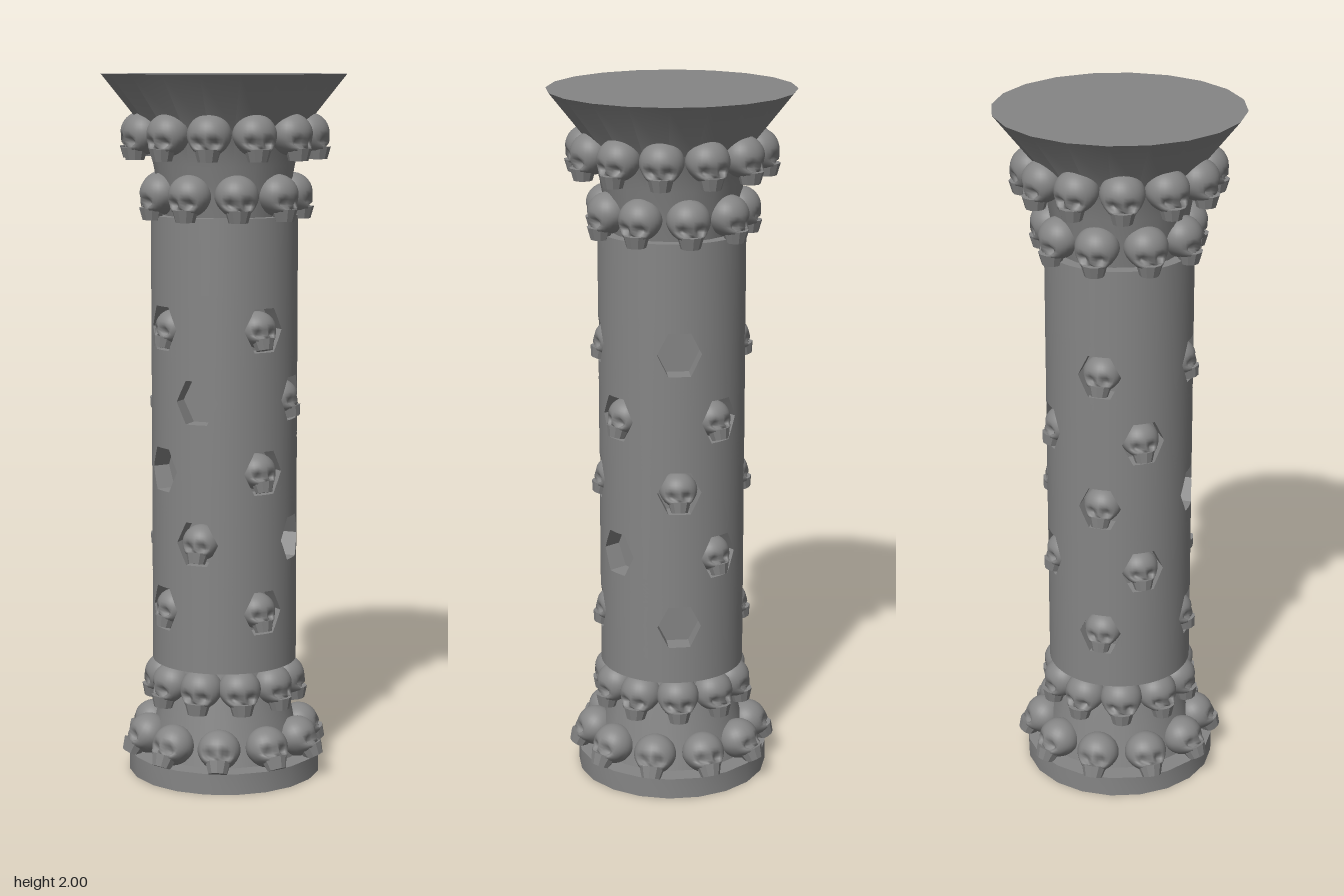
import * as THREE from 'three';
import { ParametricGeometry } from 'three/addons/geometries/ParametricGeometry.js';
import { mergeVertices, toCreasedNormals } from 'three/addons/utils/BufferGeometryUtils.js';

const R = 0.207, NICHE = 0.063, FLOOR = 0.148, ROW = 0.2, LOW = 0.33, HIGH = 1.61;
const deg = THREE.MathUtils.degToRad, lerp = THREE.MathUtils.lerp;
const stone = 0x858585;
const smooth = new THREE.MeshStandardMaterial({ color: stone });
const faceted = new THREE.MeshStandardMaterial({ color: stone, flatShading: true });

function add(parent, name, geometry, material) {
  const mesh = new THREE.Mesh(geometry, material);
  mesh.name = name;
  parent.add(mesh);
  return mesh;
}

// Turned 20-sided block from [radius, height] points, smooth around and sharp at rims
function turned(points) {
  const profile = points.map(([r, y]) => new THREE.Vector2(r, y));
  return toCreasedNormals(new THREE.LatheGeometry(profile, 20, deg(-7.1), Math.PI * 2), 0.5);
}

// Hexagonal outline, points to the left and right, slightly taller than regular
function hexPoint(u) {
  const side = Math.floor(u * 6), f = u * 6 - side;
  const a = side * Math.PI / 3, b = a + Math.PI / 3;
  return [NICHE * lerp(Math.cos(a), Math.cos(b), f), 1.12 * NICHE * lerp(Math.sin(a), Math.sin(b), f)];
}

// Tile outline in -1..1: 18 steps along top and bottom, 6 up each side
function rectPoint(u) {
  const k = u * 48;
  if (k <= 3) return [1, k / 3];
  if (k <= 21) return [1 - (k - 3) / 9, 1];
  if (k <= 27) return [-1, 1 - (k - 21) / 3];
  if (k <= 45) return [-1 + (k - 27) / 9, -1];
  return [1, -1 + (k - 45) / 3];
}

// Quarter-round wall tile with a hexagonal opening
function tile(u, v, out) {
  const [hx, hy] = hexPoint(u), [rx, ry] = rectPoint(u);
  const x = lerp(R * Math.PI / 4 * rx, hx, v);
  const y = lerp(ROW / 2 * ry, hy, v);
  out.set(R * Math.sin(x / R), y, R * Math.cos(x / R));
}

// Walls and floor of one niche
function nicheSurface(u, v, out) {
  const [hx, hy] = hexPoint(u);
  const x = R * Math.sin(hx / R);
  if (v < 0.25) out.set(x, hy, R * Math.cos(hx / R));
  else if (v < 0.75) out.set(x, hy, FLOOR);
  else out.set(0, 0, FLOOR);
}

// Cranium: a sphere narrowed towards the face, with sockets, nose and cheekbones
function craniumGeometry() {
  let g = new THREE.SphereGeometry(1, 28, 20);
  g.deleteAttribute('uv');
  g.deleteAttribute('normal');
  g = mergeVertices(g, 1e-4);
  const p = g.attributes.position;
  const spot = (x, y, cx, cy, r) => Math.exp(-(((x - cx) ** 2 + (y - cy) ** 2) / (r * r)));
  for (let i = 0; i < p.count; i++) {
    const x = p.getX(i), y = p.getY(i), z = p.getZ(i);
    const t = Math.max(0, -0.1 - y) / 0.9;
    let depth = z;
    if (z > 0) {
      const ax = Math.abs(x);
      depth -= 0.55 * spot(ax, y, 0.38, -0.38, 0.21);
      depth -= 0.3 * spot(x, y, 0, -0.7, 0.13);
      depth += 0.16 * spot(ax, y, 0.58, -0.65, 0.16);
      depth += 0.3 * t;
    }
    p.setXYZ(i, x * 0.061 * (1 - 0.12 * t), y * 0.058 + 0.005, depth * 0.058 - 0.005);
  }
  g.computeVertexNormals();
  return g;
}

const cranium = craniumGeometry();
// Tapered upper jaw
const jaw = new THREE.CylinderGeometry(0.037, 0.027, 0.034, 10);

function skull(parent, name, angle, radius, y, tilt, size = 1) {
  const pivot = new THREE.Group();
  pivot.name = name;
  pivot.rotation.y = angle;
  const head = new THREE.Group();
  head.position.set(0, y, radius);
  head.rotation.x = tilt;
  head.scale.setScalar(size);
  add(head, 'cranium', cranium, smooth);
  add(head, 'upperJaw', jaw, faceted).position.set(0, -0.049, 0.02);
  pivot.add(head);
  parent.add(pivot);
}

function skullRing(parent, name, count, radius, y, tilt, offset = 0) {
  const ring = new THREE.Group();
  ring.name = name;
  for (let i = 0; i < count; i++) {
    skull(ring, 'ringSkull', (i + offset) * Math.PI * 2 / count, radius, y, tilt);
  }
  parent.add(ring);
}

export function createModel() {
  const model = new THREE.Group();
  model.name = 'skullColumn';

  // Base and capital
  add(model, 'base', turned([[0, 0], [0.277, 0], [0.277, 0.06], [0.222, 0.06], [0.165, LOW]]), smooth);
  add(model, 'capital', turned([[0.175, HIGH], [0.2, 1.75], [0.225, 1.85], [0.345, 2], [0, 2]]), smooth);

  // Plain bands and end faces of the shaft
  const shaft = new THREE.Group();
  shaft.name = 'shaft';
  model.add(shaft);
  for (const [bottom, top] of [[LOW, 0.4], [1.4, HIGH]]) {
    const band = new THREE.CylinderGeometry(R, R, top - bottom, 72, 1, true, deg(2.5));
    add(shaft, 'shaftBand', band, smooth).position.y = (bottom + top) / 2;
  }
  for (const [y, turn] of [[LOW, 1], [HIGH, -1]]) {
    const end = add(shaft, 'shaftEnd', new THREE.CircleGeometry(R, 72, deg(2.5)), smooth);
    end.position.y = y;
    end.rotation.x = turn * Math.PI / 2;
  }

  // Rows of niches, some of them left empty (row, column)
  const empty = new Set(['0,1', '4,1', '1,0', '3,3', '2,3']);
  const tileGeometry = new ParametricGeometry(tile, 48, 5);
  const nicheGeometry = new ParametricGeometry(nicheSurface, 48, 2);
  for (let row = 0; row < 5; row++) {
    for (let column = 0; column < 4; column++) {
      const y = 0.5 + row * ROW;
      const angle = deg((row % 2 ? 17.5 : -17.5) + column * 90);
      for (const [name, geometry, material] of [
        ['shaftTile', tileGeometry, smooth], ['niche', nicheGeometry, faceted]]) {
        const part = add(shaft, name, geometry, material);
        part.position.y = y;
        part.rotation.y = angle;
      }
      if (!empty.has(`${row},${column}`)) skull(shaft, 'nicheSkull', angle, 0.174, y - 0.003, -0.25, 0.88);
    }
  }

  // Rings of skulls
  skullRing(model, 'baseSkulls', 10, 0.232, 0.112, -0.45, 0.5);
  skullRing(model, 'lowerCollarSkulls', 10, 0.18, 0.272, -0.1);
  skullRing(model, 'upperCollarSkulls', 9, 0.195, 1.665, 0);
  skullRing(model, 'capitalSkulls', 12, 0.243, 1.832, 0);
  return model;
}
